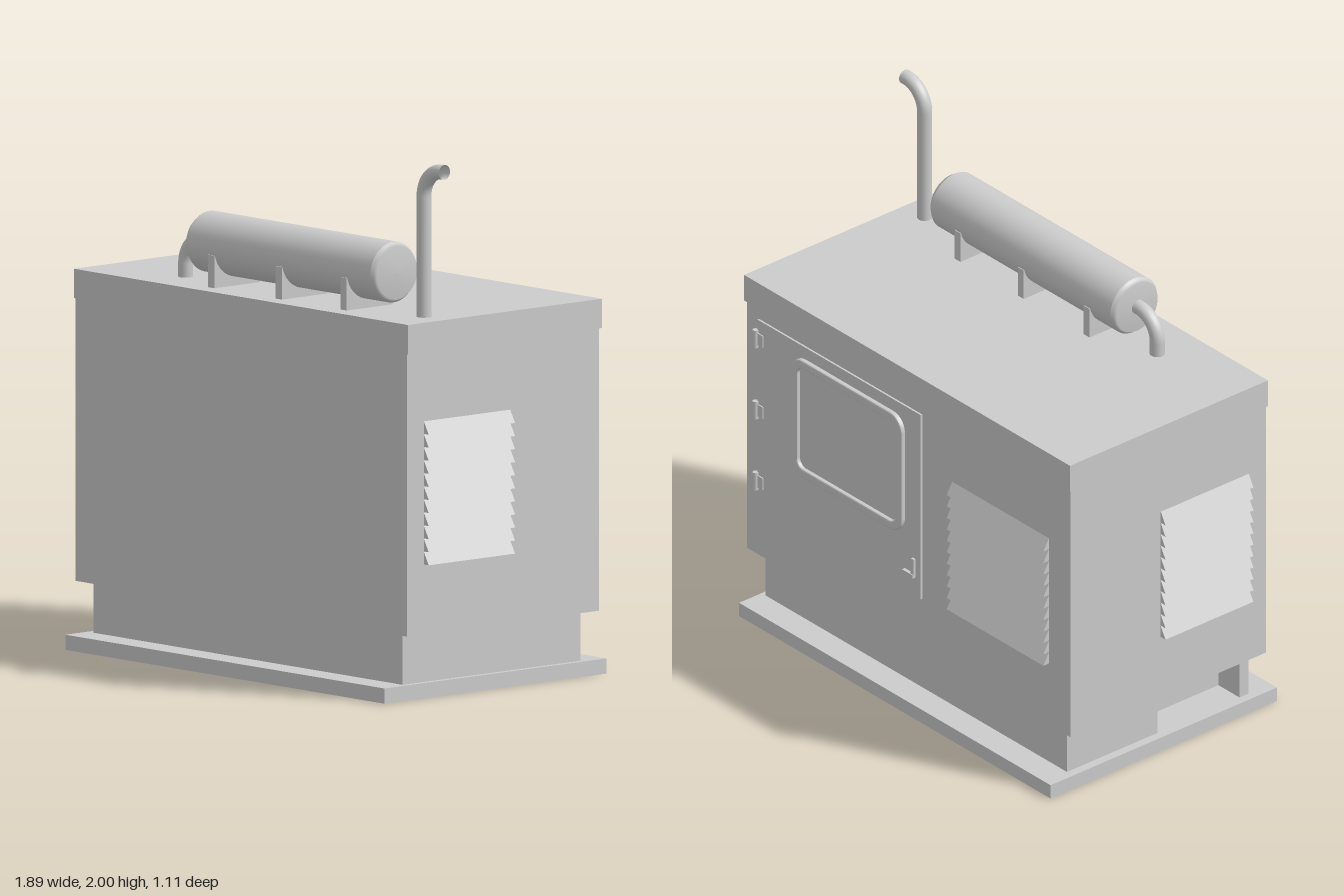
import * as THREE from 'three';

const grey = new THREE.MeshStandardMaterial({ color: 0xcccccc });
const greyOpen = new THREE.MeshStandardMaterial({ color: 0xcccccc, side: THREE.DoubleSide });

function add(parent, name, geometry, material = grey) {
  const mesh = new THREE.Mesh(geometry, material);
  mesh.name = name;
  parent.add(mesh);
  return mesh;
}

// Box given by its extents on each axis
function box(parent, name, [x0, x1], [y0, y1], [z0, z1]) {
  const mesh = add(parent, name, new THREE.BoxGeometry(x1 - x0, y1 - y0, z1 - z0));
  mesh.position.set((x0 + x1) / 2, (y0 + y1) / 2, (z0 + z1) / 2);
  return mesh;
}

function roundedRect(PathType, w, h, r) {
  const p = new PathType();
  const a = w / 2 - r, b = h / 2 - r;
  p.absarc(a, b, r, 0, Math.PI / 2);
  p.absarc(-a, b, r, Math.PI / 2, Math.PI);
  p.absarc(-a, -b, r, Math.PI, Math.PI * 1.5);
  p.absarc(a, -b, r, Math.PI * 1.5, Math.PI * 2);
  p.closePath();
  return p;
}

// Panel of rain louvres facing local +z, bottom edge at y = 0
function louvrePanel(name, width) {
  const panel = new THREE.Group();
  panel.name = name;
  const count = 11, pitch = 0.049;
  const profile = new THREE.Shape();
  profile.moveTo(0, 0);
  profile.lineTo(0.027, 0);
  profile.lineTo(0, 0.047);
  profile.closePath();
  const slat = new THREE.ExtrudeGeometry(profile, { depth: width, bevelEnabled: false });
  slat.rotateY(-Math.PI / 2);
  slat.translate(width / 2, 0, 0);
  for (let i = 0; i < count; i++) add(panel, 'louvre', slat).position.y = i * pitch;
  return panel;
}

// Pipe that rises from the roof and bends towards +x
function bentPipe(parent, name, x, y0, y1, bend, xEnd, z, r) {
  const path = new THREE.CurvePath();
  const v = (px, py) => new THREE.Vector3(px, py, z);
  const k = bend * 0.5523;
  path.add(new THREE.LineCurve3(v(x, y0), v(x, y1 - bend)));
  path.add(new THREE.CubicBezierCurve3(v(x, y1 - bend), v(x, y1 - bend + k), v(x + bend - k, y1), v(x + bend, y1)));
  path.add(new THREE.LineCurve3(v(x + bend, y1), v(xEnd, y1)));
  add(parent, name, new THREE.TubeGeometry(path, 64, r, 20), greyOpen);
}

export function createModel() {
  const model = new THREE.Group();
  model.name = 'generator';

  // Ground plate and plinth, with a cable recess in the -x end
  box(model, 'groundPlate', [-0.895, 0.878], [0, 0.057], [-0.553, 0.553]);
  box(model, 'plinth', [-0.74, 0.855], [0.057, 0.25], [-0.443, 0.443]);
  box(model, 'plinthEndBack', [-0.86, -0.74], [0.057, 0.25], [-0.443, 0]);
  box(model, 'plinthEndFront', [-0.86, -0.74], [0.057, 0.25], [0.4, 0.443]);

  // Housing and overhanging roof
  box(model, 'housing', [-0.922, 0.917], [0.248, 1.32], [-0.48, 0.477]);
  box(model, 'roof', [-0.93, 0.925], [1.308, 1.418], [-0.488, 0.479]);

  // Louvres on both ends and the back
  for (const side of [-1, 1]) {
    const panel = louvrePanel('endLouvres', 0.43);
    panel.position.set(side > 0 ? 0.917 : -0.922, 0.51, 0.177);
    panel.rotation.y = side * Math.PI / 2;
    model.add(panel);
  }
  const backLouvres = louvrePanel('backLouvres', 0.55);
  backLouvres.position.set(-0.525, 0.51, -0.48);
  backLouvres.rotation.y = Math.PI;
  model.add(backLouvres);

  // Service door on the back
  const door = new THREE.Group();
  door.name = 'door';
  model.add(door);
  box(door, 'doorPanel', [-0.08, 0.85], [0.47, 1.26], [-0.488, -0.478]);

  // Raised rounded window frame and its pane
  const frameShape = roundedRect(THREE.Shape, 0.62, 0.49, 0.06);
  frameShape.holes.push(roundedRect(THREE.Path, 0.57, 0.44, 0.04));
  const frame = add(door, 'windowFrame', new THREE.ExtrudeGeometry(frameShape, {
    depth: 0.012, bevelSize: 0.005, bevelThickness: 0.006, bevelSegments: 2, curveSegments: 8,
  }));
  frame.position.set(0.325, 0.96, -0.5);
  const pane = add(door, 'windowPane', new THREE.ShapeGeometry(roundedRect(THREE.Shape, 0.58, 0.45, 0.045)));
  pane.position.set(0.325, 0.96, -0.49);
  pane.rotation.y = Math.PI;

  // Hinges: a leaf and a knuckle each
  for (const y of [0.57, 0.875, 1.18]) {
    box(door, 'hingeLeaf', [0.815, 0.875], [y - 0.025, y + 0.025], [-0.493, -0.478]);
    const pin = add(door, 'hingePin', new THREE.CylinderGeometry(0.011, 0.011, 0.075, 12));
    pin.position.set(0.853, y, -0.494);
  }

  // Latch
  box(door, 'latchPlate', [-0.05, -0.035], [0.55, 0.63], [-0.498, -0.486]);
  box(door, 'latchHandle', [-0.05, 0.01], [0.55, 0.565], [-0.502, -0.486]);

  // Silencer drum with slightly dished ends
  const drumZ = 0.297, drumY = 1.566;
  const half = [[0, 0.534], [0.1, 0.53], [0.108, 0.518], [0.114, 0.51]];
  const outline = [...half.map(([r, h]) => [r, -h]), ...half.slice().reverse()];
  // Repeated rim points keep the body's edges crisp
  const points = outline.flatMap(([r, h]) => {
    const p = new THREE.Vector2(r, h);
    return r > 0.11 ? [p, new THREE.Vector2(r, h * 0.998), p.clone().setY(h * 0.99)].sort((a, b) => a.y - b.y) : [p];
  });
  const drum = add(model, 'silencer', new THREE.LatheGeometry(points, 48));
  drum.rotation.z = -Math.PI / 2;
  drum.position.set(0.132, drumY, drumZ);

  // Saddles under the drum
  for (const x of [-0.243, 0.132, 0.492]) {
    const saddle = new THREE.Shape();
    saddle.moveTo(-0.114, 1.41);
    saddle.lineTo(0.114, 1.41);
    saddle.lineTo(0.114, 1.54);
    saddle.absarc(0, drumY, 0.112, -0.23, Math.PI + 0.23, true);
    saddle.lineTo(-0.114, 1.54);
    saddle.closePath();
    const mesh = add(model, 'saddle', new THREE.ExtrudeGeometry(saddle, { depth: 0.034, bevelEnabled: false, curveSegments: 20 }));
    mesh.rotation.y = Math.PI / 2;
    mesh.position.set(x - 0.017, 0, drumZ);
  }

  // Inlet elbow and exhaust stack
  bentPipe(model, 'inletElbow', -0.512, 1.41, 1.57, 0.1, -0.38, drumZ, 0.028);
  bentPipe(model, 'exhaustStack', 0.812, 1.41, 1.972, 0.1, 0.925, drumZ, 0.028);

  return model;
}
